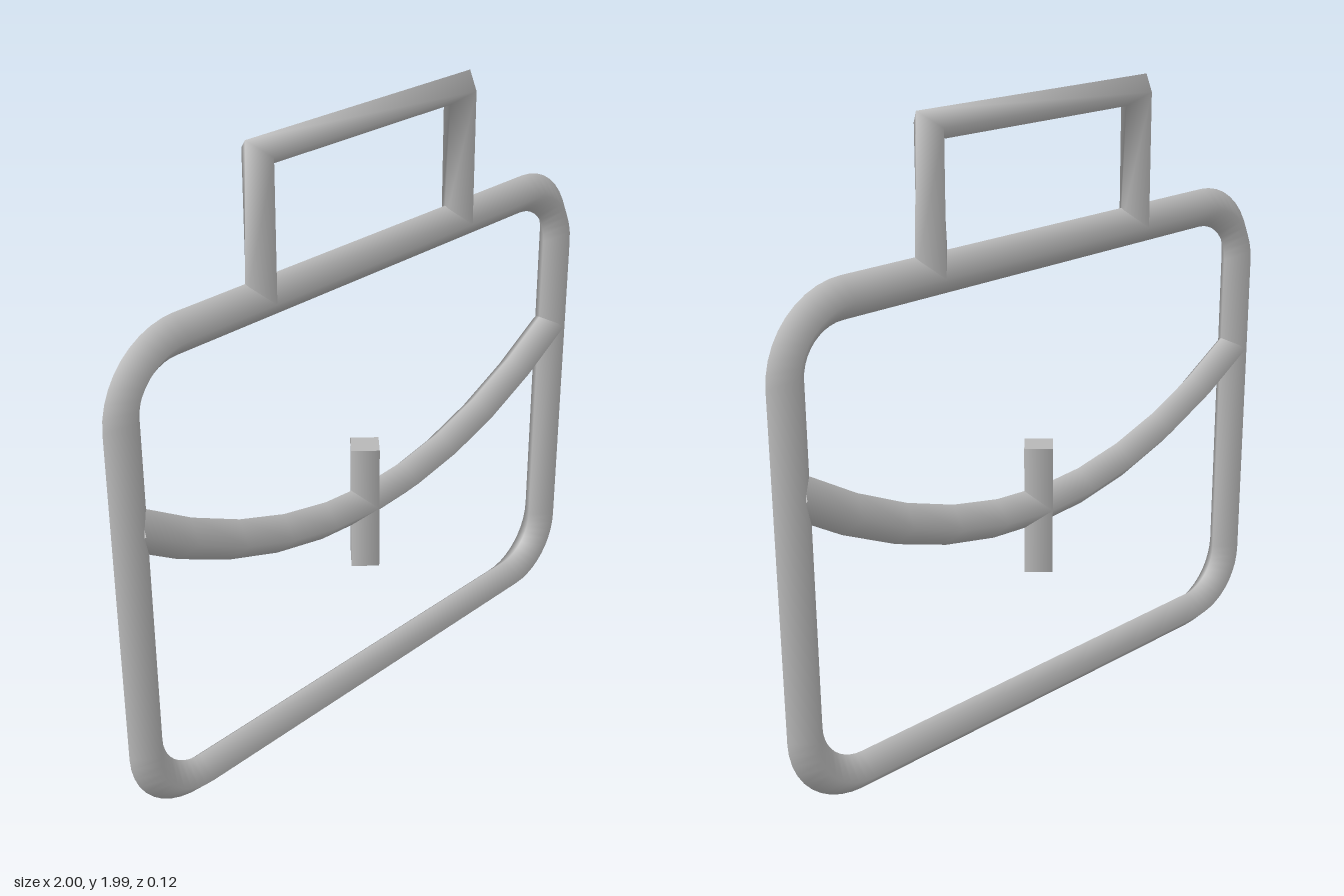
import * as THREE from 'three';

const R = 0.0625; // half width of every bar

// Sweeps a diamond section along a path in the xy plane, with radial (smooth) normals
function diamondBar(name, path, material, closed = false) {
  const n = path.length, pos = [], nor = [], idx = [];
  const dir = (a, b) => b.clone().sub(a).normalize();
  const rings = path.map((p, i) => {
    const prev = closed ? path[(i + n - 1) % n] : path[i - 1];
    const next = closed ? path[(i + 1) % n] : path[i + 1];
    const t = new THREE.Vector2();
    if (prev) t.add(dir(prev, p));
    if (next) t.add(dir(p, next));
    t.normalize();
    const side = new THREE.Vector3(-t.y, t.x, 0), front = new THREE.Vector3(0, 0, 1);
    const normals = [side, front, side.clone().negate(), front.clone().negate()];
    const points = normals.map(v => new THREE.Vector3(p.x, p.y, 0).addScaledVector(v, R));
    points.forEach((v, j) => { pos.push(...v.toArray()); nor.push(...normals[j].toArray()); });
    return { points, t };
  });
  for (let i = 0; i < (closed ? n : n - 1); i++) {
    const k = (i + 1) % n;
    for (let j = 0; j < 4; j++) {
      const m = (j + 1) % 4;
      const a = i * 4 + j, b = i * 4 + m, c = k * 4 + m, d = k * 4 + j;
      idx.push(a, b, c, a, c, d);
    }
  }
  // Flat end caps
  if (!closed) {
    [[rings[0], -1], [rings[n - 1], 1]].forEach(([ring, s]) => {
      const o = pos.length / 3;
      ring.points.forEach(v => { pos.push(...v.toArray()); nor.push(ring.t.x * s, ring.t.y * s, 0); });
      if (s > 0) idx.push(o, o + 1, o + 2, o, o + 2, o + 3);
      else idx.push(o, o + 2, o + 1, o, o + 3, o + 2);
    });
  }
  const g = new THREE.BufferGeometry();
  g.setAttribute('position', new THREE.Float32BufferAttribute(pos, 3));
  g.setAttribute('normal', new THREE.Float32BufferAttribute(nor, 3));
  g.setIndex(idx);
  const mesh = new THREE.Mesh(g, material);
  mesh.name = name;
  return mesh;
}

export function createModel() {
  const group = new THREE.Group();
  group.name = 'briefcaseOutline';
  const grey = new THREE.MeshStandardMaterial({ color: 0xb8b8b8 });
  grey.name = 'grey';
  const V = (x, y) => new THREE.Vector2(x, y);

  // Rounded rectangular frame, counter-clockwise from the upper left model side
  const corner = 0.2, frame = [];
  [[0.7375, 1.3225], [-0.7375, 1.3225], [-0.7375, 0.2625], [0.7375, 0.2625]].forEach(([x, y], q) => {
    for (let i = 0; i <= 10; i++) {
      const a = (q + i / 10) * Math.PI / 2;
      frame.push(V(x + corner * Math.cos(a), y + corner * Math.sin(a)));
    }
  });
  group.add(diamondBar('frame', frame, grey, true));

  // Handle with mitred corners
  group.add(diamondBar('handle',
    [V(-0.42, 1.52), V(-0.418, 1.942), V(0.418, 1.942), V(0.42, 1.52)], grey));

  // Sagging edge of the flap
  const flap = [];
  for (let i = -5; i <= 5; i++) {
    const x = i * 0.186;
    flap.push(V(x, 0.693 + 0.363 * x * x));
  }
  group.add(diamondBar('flapEdge', flap, grey));

  // Upright clasp
  group.add(diamondBar('clasp', [V(0, 0.482), V(0, 0.9)], grey));

  return group;
}
